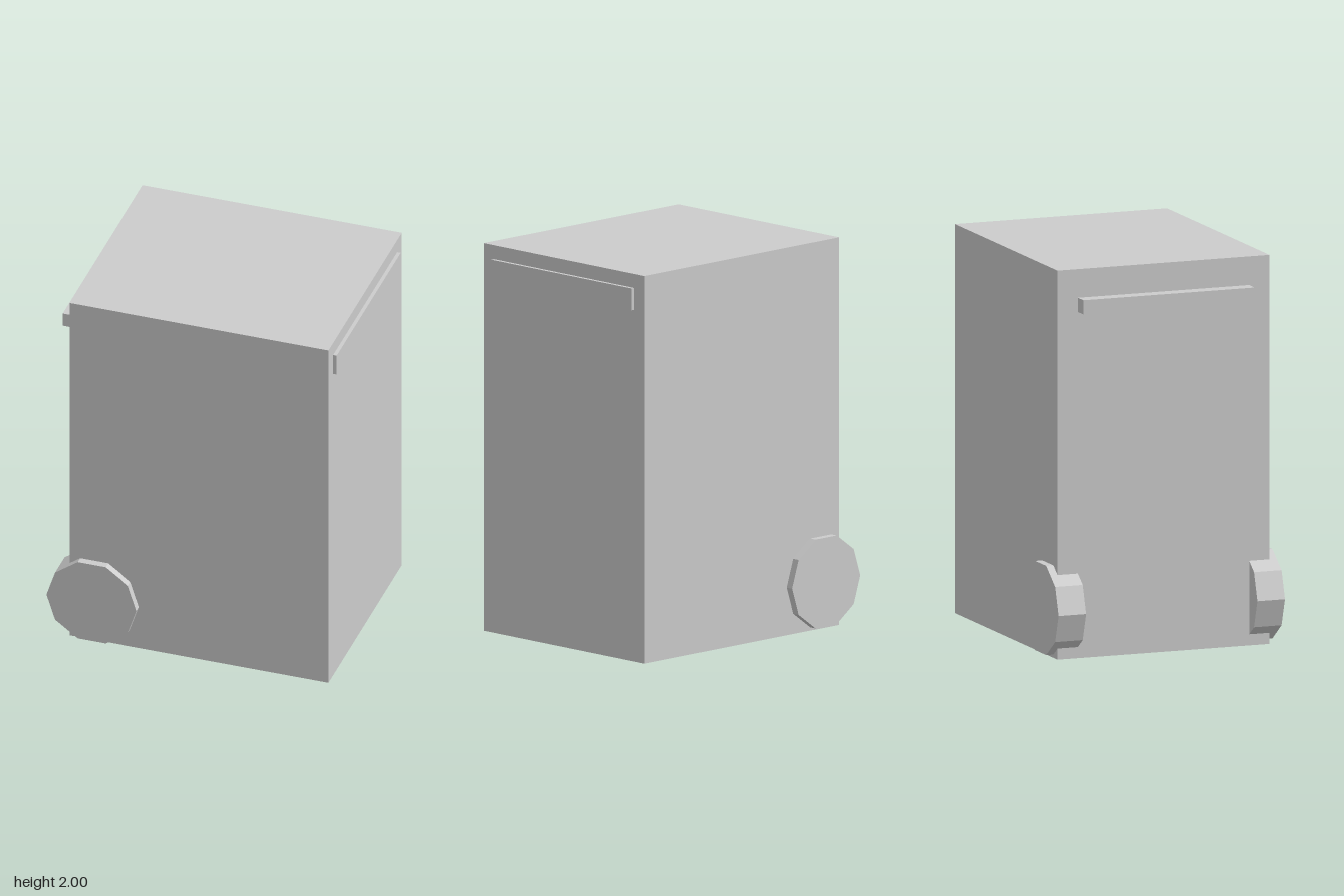
import * as THREE from 'three';

const material = new THREE.MeshStandardMaterial({ color: 0xcccccc, flatShading: true });

// Box given by its minimum and maximum on each axis
function box(name, [x0, x1], [y0, y1], [z0, z1]) {
  const mesh = new THREE.Mesh(new THREE.BoxGeometry(x1 - x0, y1 - y0, z1 - z0), material);
  mesh.position.set((x0 + x1) / 2, (y0 + y1) / 2, (z0 + z1) / 2);
  mesh.name = name;
  return mesh;
}

export function createModel() {
  const model = new THREE.Group();
  model.name = 'wheeledBin';

  // Tall container
  model.add(box('body', [-0.645, 0.736], [0, 2], [-0.578, 0.578]));

  // Pull bar on the wheel side, thin lip on the opposite side
  model.add(box('handle', [-0.72, -0.645], [1.78, 1.853], [-0.467, 0.467]));
  model.add(box('lip', [0.736, 0.755], [1.815, 1.928], [-0.505, 0.505]));

  // Ten-sided wheels, with a corner pointing along x
  const wheelGeometry = new THREE.CylinderGeometry(0.241, 0.241, 0.15, 10, 1, false, Math.PI / 2);
  wheelGeometry.rotateX(Math.PI / 2);
  for (const side of [-1, 1]) {
    const wheel = new THREE.Mesh(wheelGeometry, material);
    wheel.position.set(-0.515, 0.246, side * 0.542);
    wheel.name = side > 0 ? 'frontWheel' : 'backWheel';
    model.add(wheel);
  }

  return model;
}
